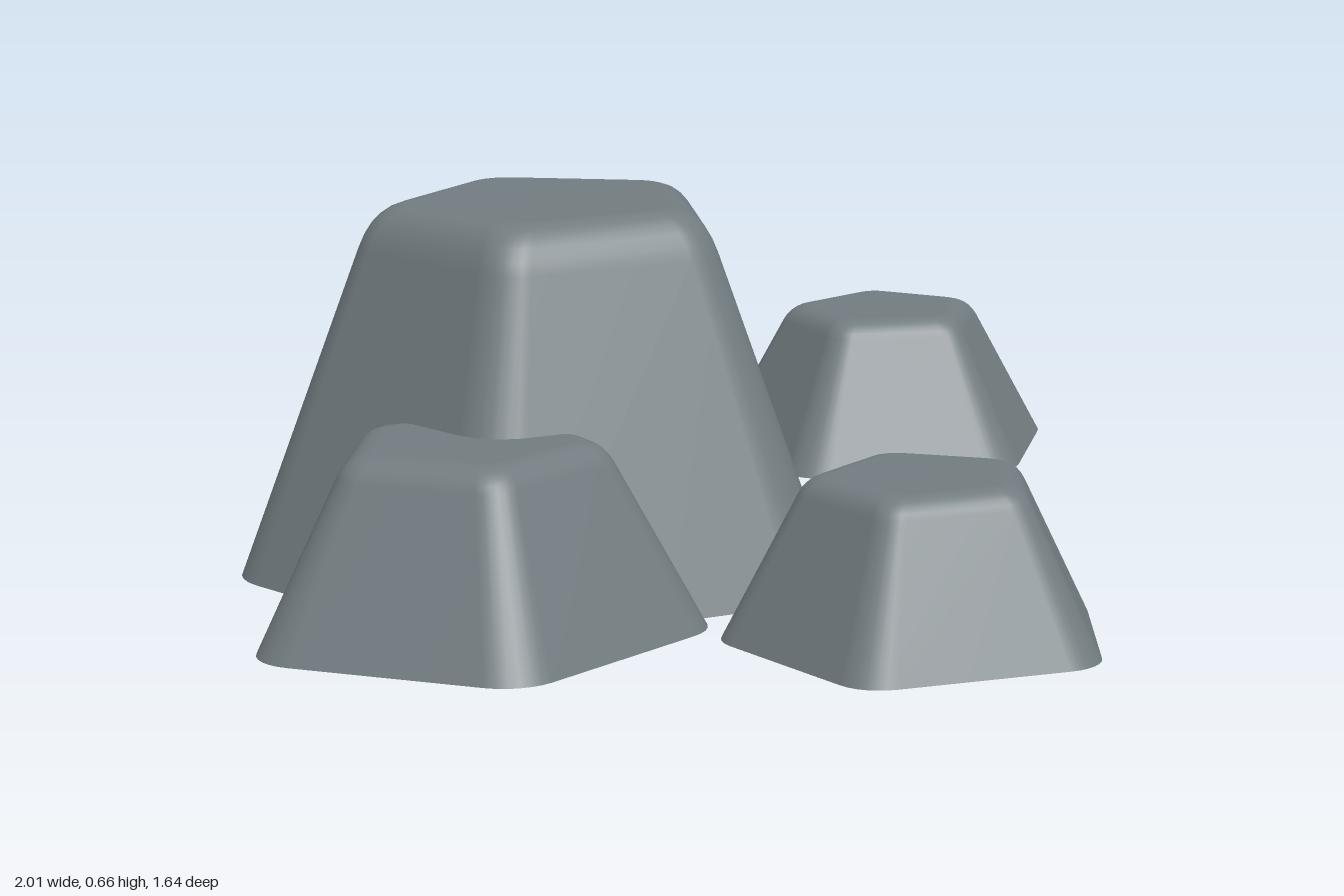
import * as THREE from 'three';

const SIDES = 5, CORNER_STEPS = 6, BEVEL_STEPS = 6;
const RAD = Math.PI / 180;

// Pentagon of circumradius 1 with rounded corners, as [x, z] points
function roundedPentagon(corner = 0.228) {
  const half = Math.PI / SIDES, pts = [];
  const d = 1 - corner / Math.cos(half);
  for (let i = 0; i < SIDES; i++) {
    const a = i * 2 * half;
    for (let k = 0; k <= CORNER_STEPS; k++) {
      const b = a - half + (2 * half * k) / CORNER_STEPS;
      pts.push([d * Math.cos(a) + corner * Math.cos(b), d * Math.sin(a) + corner * Math.sin(b)]);
    }
  }
  return pts;
}

// Tapered shell with a rounded top edge and an open underside
function rockGeometry(radius, height, taper) {
  const outline = roundedPentagon(), n = outline.length;
  const shoulder = 0.88;
  const bevel = new THREE.QuadraticBezierCurve(
    new THREE.Vector2(1 - (1 - taper) * shoulder, shoulder),
    new THREE.Vector2(taper, 1),
    new THREE.Vector2(taper - 0.12, 1)
  );
  const profile = [new THREE.Vector2(1, 0), ...bevel.getPoints(BEVEL_STEPS)];
  const pos = [], index = [];
  for (const p of profile) {
    for (const [x, z] of outline) pos.push(x * p.x * radius, p.y * height, z * p.x * radius);
  }
  for (let i = 0; i < profile.length - 1; i++) {
    for (let j = 0; j < n; j++) {
      const a = i * n + j, b = i * n + ((j + 1) % n);
      index.push(a, a + n, b, b, a + n, b + n);
    }
  }
  // Flat cap
  const centre = pos.length / 3, last = centre - n;
  pos.push(0, height, 0);
  for (let j = 0; j < n; j++) index.push(centre, last + ((j + 1) % n), last + j);

  const g = new THREE.BufferGeometry();
  g.setAttribute('position', new THREE.Float32BufferAttribute(pos, 3));
  g.setIndex(index);
  g.computeVertexNormals();
  return g;
}

export function createModel() {
  const group = new THREE.Group();
  group.name = 'rocks';
  const stone = new THREE.MeshStandardMaterial({ color: 0x727c80, side: THREE.DoubleSide });

  // Base centre, angle of one corner (degrees, from +x towards +z), size
  const rocks = [
    { name: 'largeRock', at: [-0.278, 0.025, -0.31], angle: -2, radius: 0.558, height: 0.628, taper: 0.545 },
    { name: 'mediumRock', at: [-0.63, 0.038, -0.08], angle: 45, radius: 0.4, height: 0.308, taper: 0.56 },
    { name: 'smallFrontRock', at: [-0.186, 0.064, 0.503], angle: 5, radius: 0.337, height: 0.265, taper: 0.56 },
    { name: 'smallBackRock', at: [0.7, 0.015, -0.535], angle: 16, radius: 0.337, height: 0.264, taper: 0.54 },
  ];
  for (const r of rocks) {
    const geometry = rockGeometry(r.radius, r.height, r.taper);
    geometry.rotateY(-r.angle * RAD);
    const mesh = new THREE.Mesh(geometry, stone);
    mesh.name = r.name;
    mesh.position.set(...r.at);
    mesh.rotation.set(-0.033, 0, -0.018); // slight lean shared by all rocks
    group.add(mesh);
  }
  return group;
}
